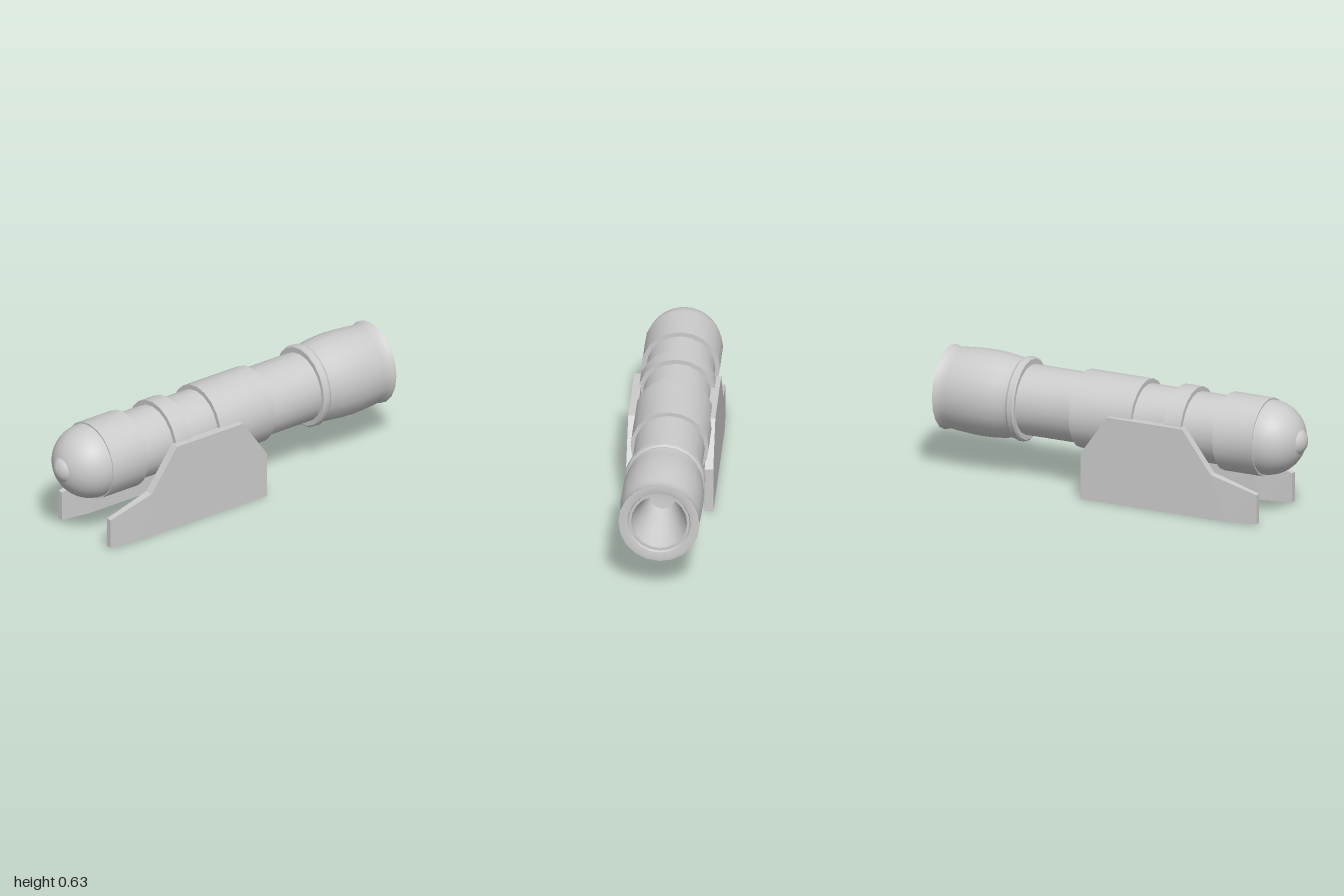
import * as THREE from 'three';
import { toCreasedNormals } from 'three/addons/utils/BufferGeometryUtils.js';

const AXIS_X = -0.005, AXIS_Y = 0.405;

export function createModel() {
  const model = new THREE.Group();
  model.name = 'cannon';
  const mat = new THREE.MeshStandardMaterial({ color: 0xcccccc });

  function add(name, geometry, parent = model) {
    const mesh = new THREE.Mesh(geometry, mat);
    mesh.name = name;
    parent.add(mesh);
    return mesh;
  }

  // Turned part around the gun axis; profile is [radius, z] with z rising on outer walls
  function turned(name, profile, xScale = 1, segments = 20) {
    const pts = profile.map(([r, z]) => new THREE.Vector2(r, z));
    const geo = new THREE.LatheGeometry(pts, segments);
    geo.rotateX(Math.PI / 2);
    geo.scale(xScale, 1, 1);
    geo.translate(AXIS_X, AXIS_Y, 0);
    return add(name, toCreasedNormals(geo, 0.55));
  }

  // Circular arc profile, from a starting radius to the tip
  function dome(radius, centreZ) {
    const pts = [];
    for (let i = 0; i <= 14; i++) {
      const a = (i / 14) * Math.PI / 2;
      pts.push([i === 14 ? 0 : radius * Math.cos(a), centreZ + radius * Math.sin(a)]);
    }
    return pts;
  }

  // Stepped barrel with reinforcing bands
  turned('barrel', [
    [0.18, -0.62], [0.18, -0.235],
    [0.2, -0.235], [0.2, 0.11],
    [0.176, 0.11], [0.176, 0.295],
    [0.2, 0.295], [0.2, 0.39],
    [0.176, 0.39], [0.176, 0.57],
    [0.2, 0.57], [0.2, 0.79], [0.185, 0.79],
  ], 0.98);

  // Rounded breech and its knob
  turned('breechDome', dome(0.19, 0.79), 1, 40);
  turned('breechKnob', dome(0.079, 0.921), 1, 32);

  // Swelling muzzle with flared lip and funnel bore
  turned('muzzle', [
    [0, -0.72], [0.07, -0.73], [0.09, -0.8], [0.115, -0.89], [0.145, -0.96],
    [0.15, -0.985], [0.165, -0.985], [0.17, -0.995], [0.195, -1],
    [0.218, -0.998], [0.213, -0.98], [0.208, -0.965], [0.212, -0.93],
    [0.218, -0.86], [0.221, -0.79], [0.219, -0.72], [0.213, -0.66],
    [0.206, -0.62], [0.205, -0.58], [0.17, -0.58],
  ], 0.935);
  turned('muzzleRing', [
    [0.17, -0.592], [0.208, -0.592], [0.216, -0.58],
    [0.216, -0.553], [0.208, -0.545], [0.17, -0.545],
  ], 0.935);

  // Carriage cheeks: stepped plates, thinner at the tail end
  const outline = [
    [0.825, 0.01], [0.825, 0.163], [0.57, 0.235], [0.41, 0.45],
    [-0.01, 0.45], [-0.16, 0.24], [-0.16, 0], [0.66, 0],
  ];
  const thickness = 0.043;
  const shape = new THREE.Shape(outline.map(([z, y]) => new THREE.Vector2(-z, y)));
  for (const [name, x] of [['leftCheek', 0.197], ['rightCheek', -0.197]]) {
    const geo = new THREE.ExtrudeGeometry(shape, { depth: thickness, bevelEnabled: false });
    geo.translate(0, 0, -thickness / 2);
    geo.rotateY(Math.PI / 2);
    const pos = geo.attributes.position;
    for (let i = 0; i < pos.count; i++) {
      if (pos.getZ(i) > 0.8) pos.setX(i, pos.getX(i) * 0.68);
    }
    geo.computeVertexNormals();
    add(name, geo).position.x = x;
  }

  return model;
}
